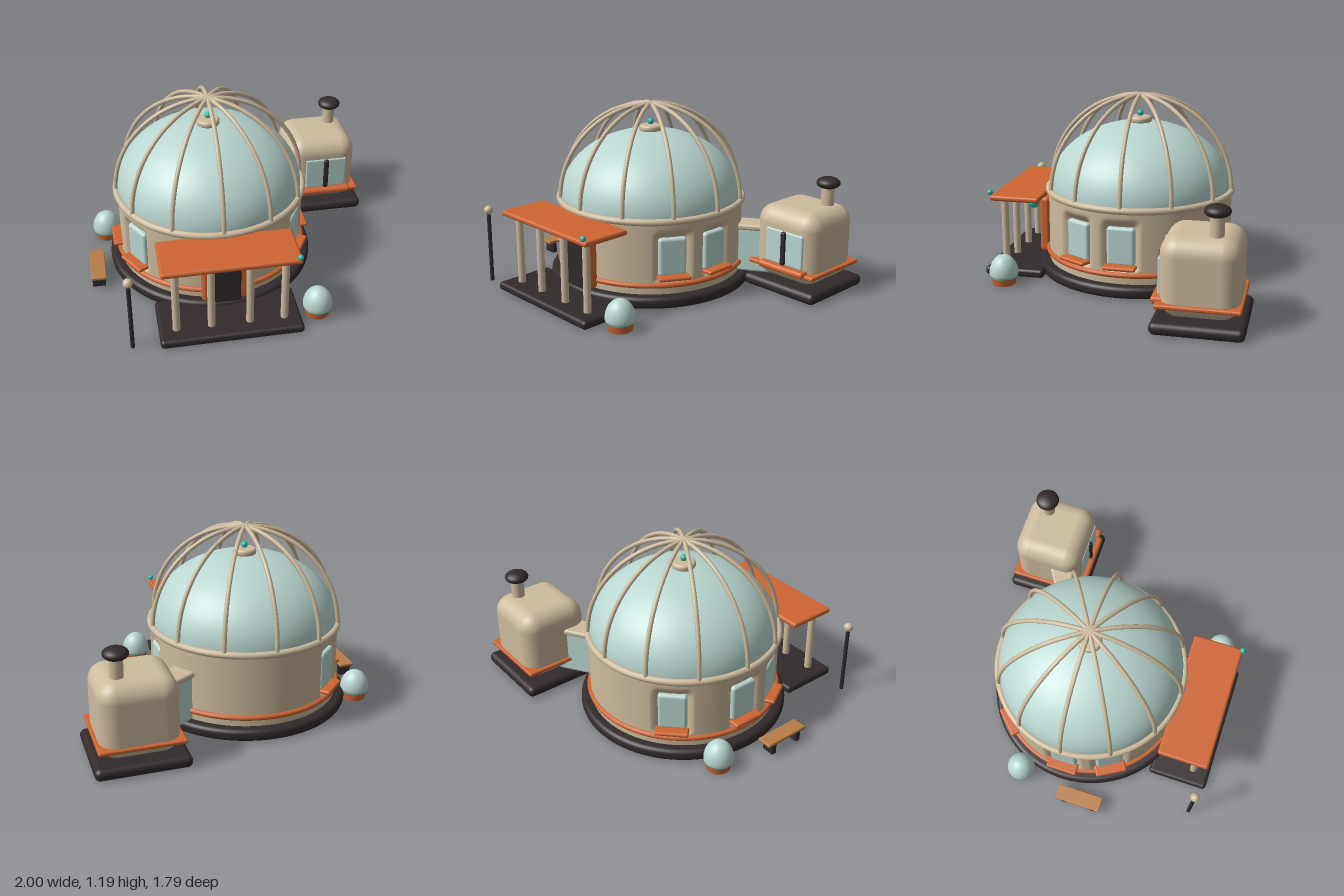
import * as THREE from 'three';
import { RoundedBoxGeometry } from 'three/addons/geometries/RoundedBoxGeometry.js';

const mat = (name, color, side = THREE.FrontSide) => {
  const m = new THREE.MeshStandardMaterial({ color, side });
  m.name = name;
  return m;
};

export function createModel() {
  const sand = mat('sand', 0xcdbb9d, THREE.DoubleSide);
  const glass = mat('pale glass', 0xb9d6d0);
  const orange = mat('burnt orange', 0xcf6531);
  const dark = mat('charcoal', 0x322a2b);
  const teal = mat('teal', 0x2bbfae);
  const wood = mat('wood', 0xb87d47);

  const model = new THREE.Group();
  model.name = 'domeHouse';

  const add = (name, geo, material, x = 0, y = 0, z = 0, parent = model) => {
    const m = new THREE.Mesh(geo, material);
    m.name = name;
    m.position.set(x, y, z);
    parent.add(m);
    return m;
  };
  const box = (w, h, d, r = 0.01) => new RoundedBoxGeometry(w, h, d, 4, Math.min(r, w / 2.01, h / 2.01, d / 2.01));
  const cyl = (r, h, seg = 24) => new THREE.CylinderGeometry(r, r, h, seg);
  const ball = (r) => new THREE.SphereGeometry(r, 24, 16);
  // Disc from y = 0 to h with a rounded rim
  const disc = (r, h, b) => {
    const pts = [new THREE.Vector2(0, 0)];
    for (const [cy, a0] of [[b, -Math.PI / 2], [h - b, 0]]) {
      for (let i = 0; i <= 6; i++) {
        const a = a0 + (i / 6) * Math.PI / 2;
        pts.push(new THREE.Vector2(r - b + b * Math.cos(a), cy + b * Math.sin(a)));
      }
    }
    pts.push(new THREE.Vector2(0, h));
    return new THREE.LatheGeometry(pts, 96);
  };
  const ring = (name, r, tube, y, material, parent) => {
    const m = add(name, new THREE.TorusGeometry(r, tube, 12, 96), material, 0, y, 0, parent);
    m.rotation.x = Math.PI / 2;
  };

  // ---- Main round house ----
  const house = new THREE.Group();
  house.name = 'roundHouse';
  house.position.set(-0.17, 0, -0.065);
  model.add(house);
  add('foundation', disc(0.68, 0.078, 0.03), dark, 0, 0, 0, house);

  // Wall pushed inwards in a soft niche at each window
  const R = 0.615;
  const windowAngles = [0, 30, 150, 180, 225].map((d) => Math.PI / 2 - THREE.MathUtils.degToRad(d));
  const wallGeo = new THREE.CylinderGeometry(R, R, 0.48, 216, 32, true);
  wallGeo.translate(0, 0.315, 0);
  const p = wallGeo.attributes.position;
  const step = THREE.MathUtils.smoothstep;
  for (let i = 0; i < p.count; i++) {
    const x = p.getX(i), y = p.getY(i), z = p.getZ(i);
    const a = Math.atan2(x, z);
    let dent = 0;
    for (const w of windowAngles) {
      const d = Math.abs(Math.atan2(Math.sin(a - w), Math.cos(a - w))) * R;
      dent = Math.max(dent, (1 - step(d, 0.085, 0.125)) * step(y, 0.15, 0.19) * (1 - step(y, 0.43, 0.5)));
    }
    const k = 1 - (0.045 * dent) / R;
    p.setXYZ(i, x * k, y, z * k);
  }
  wallGeo.computeVertexNormals();
  add('wall', wallGeo, sand, 0, 0, 0, house);
  ring('wallBand', 0.62, 0.017, 0.138, orange, house);
  ring('eavesRing', 0.614, 0.022, 0.553, sand, house);

  windowAngles.forEach((a) => {
    const g = new THREE.Group();
    g.name = 'window';
    g.rotation.y = a;
    house.add(g);
    add('windowPane', box(0.18, 0.25, 0.05, 0.02), glass, 0, 0.315, 0.577, g);
    add('windowSill', box(0.21, 0.026, 0.08, 0.012), orange, 0, 0.188, 0.622, g);
  });

  // Glass dome, cap and beacon
  const dome = new THREE.SphereGeometry(0.605, 64, 24, 0, Math.PI * 2, 0, Math.PI / 2);
  dome.scale(1, 0.44 / 0.605, 1);
  add('glassDome', dome, glass, 0, 0.56, 0, house);
  add('domeCap', disc(0.076, 0.045, 0.018), sand, 0, 0.99, 0, house);
  add('domeBeacon', ball(0.021), teal, 0, 1.055, 0, house);

  // Six full arches make twelve ribs
  for (let i = 0; i < 6; i++) {
    const rib = add('rib', new THREE.TorusGeometry(0.615, 0.014, 10, 64, Math.PI), sand, 0, 0.56, 0, house);
    rib.rotation.y = (i * Math.PI) / 6;
  }

  // ---- Door and porch ----
  add('doorFrame', box(0.3, 0.385, 0.07, 0.025), orange, -0.17, 0.278, 0.57);
  add('door', box(0.195, 0.325, 0.03, 0.014), dark, -0.17, 0.238, 0.598);
  add('doorLantern', ball(0.038), teal, 0.032, 0.452, 0.625);
  add('porchFloor', box(0.89, 0.055, 0.4, 0.022), dark, -0.17, 0.0275, 0.695);
  add('porchRoof', box(0.85, 0.036, 0.335, 0.016), orange, -0.17, 0.525, 0.69);
  for (const x of [-0.337, -0.12, 0.12, 0.337]) {
    add('porchPost', cyl(0.024, 0.465), sand, -0.17 + x, 0.283, 0.78);
  }
  add('roofLight', ball(0.018), teal, 0.235, 0.562, 0.855);

  // ---- Annex ----
  const annex = new THREE.Group();
  annex.name = 'annex';
  annex.position.set(0.706, 0, -0.625);
  model.add(annex);
  add('annexFoundation', box(0.58, 0.075, 0.55, 0.035), dark, 0, 0.0375, 0, annex);
  add('annexBody', box(0.485, 0.485, 0.47, 0.11), sand, 0, 0.32, 0, annex);
  add('annexBand', box(0.525, 0.028, 0.5, 0.012), orange, 0, 0.166, 0, annex);
  add('annexSill', box(0.36, 0.045, 0.08, 0.02), orange, 0.02, 0.178, 0.24, annex);
  add('annexWindow', box(0.295, 0.23, 0.05, 0.012), glass, 0.022, 0.315, 0.218, annex);
  add('annexMullion', box(0.035, 0.225, 0.04, 0.012), dark, 0.022, 0.315, 0.24, annex);
  add('chimney', cyl(0.042, 0.16), sand, 0.11, 0.61, -0.085, annex);
  add('chimneyCap', ball(0.078), dark, 0.11, 0.708, -0.085, annex).scale.y = 0.5;

  // Glazed link between the house and the annex
  const link = new THREE.Group();
  link.name = 'link';
  link.position.set(0.43, 0, -0.465);
  link.rotation.y = 0.56;
  model.add(link);
  add('linkGlass', box(0.32, 0.31, 0.13, 0.02), glass, 0, 0.225, 0, link);
  add('linkRoof', box(0.34, 0.04, 0.165, 0.016), sand, 0, 0.385, 0, link);

  // ---- Egg-shaped pods ----
  const eggPts = [new THREE.Vector2(0, 0.05)];
  for (let i = 0; i <= 16; i++) {
    const t = -0.3 + (i / 16) * (Math.PI / 2 + 0.3);
    const c = i === 16 ? 0 : Math.cos(t);
    eggPts.push(new THREE.Vector2(0.093 * c, 0.075 + (t < 0 ? 0.07 : 0.12) * Math.sin(t)));
  }
  for (const [x, z] of [[0.395, 0.718], [-0.865, -0.345]]) {
    const pod = new THREE.Group();
    pod.name = 'pod';
    pod.position.set(x, 0, z);
    model.add(pod);
    add('podBase', new THREE.CylinderGeometry(0.082, 0.074, 0.05, 32), orange, 0, 0.025, 0, pod);
    add('podGlow', cyl(0.086, 0.008, 32), teal, 0, 0.052, 0, pod);
    add('podShell', new THREE.LatheGeometry(eggPts, 32), glass, 0, 0, 0, pod);
  }

  // ---- Bench and lamp post ----
  add('benchSeat', box(0.1, 0.022, 0.31, 0.006), wood, -0.95, 0.085, 0.102);
  for (const z of [0.0, 0.205]) add('benchLeg', box(0.085, 0.075, 0.035, 0.004), dark, -0.95, 0.0375, z);
  add('lampPole', cyl(0.013, 0.47, 16), dark, -0.782, 0.235, 0.832);
  add('lampGlobe', ball(0.03), sand, -0.782, 0.495, 0.832);

  return model;
}
